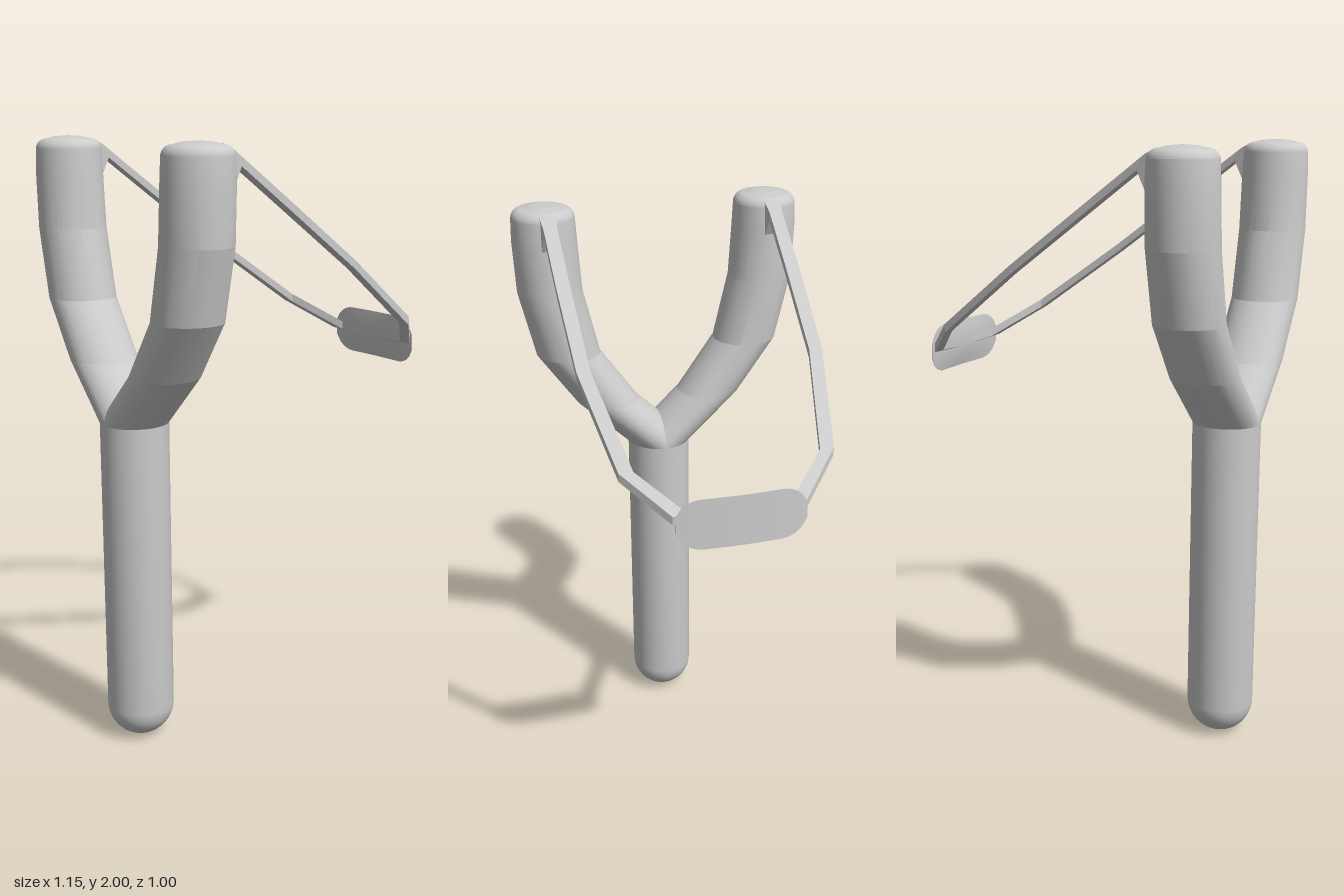
import * as THREE from 'three';
import { toCreasedNormals } from 'three/addons/utils/BufferGeometryUtils.js';

const R = 0.1125, FORK_X = -0.4625, SIDES = 48;
const material = new THREE.MeshStandardMaterial({ color: 0xcccccc });

// Stack of horizontal rings [y, z, radius], smooth around and creased between bands
function ringStack(rings, side) {
  const geo = new THREE.LatheGeometry(rings.map(([y, , r]) => new THREE.Vector2(r, y)), SIDES);
  const pos = geo.attributes.position;
  for (let i = 0; i < pos.count; i++) {
    pos.setZ(i, pos.getZ(i) + side * rings[i % rings.length][1]);
  }
  geo.translate(FORK_X, 0, 0);
  return toCreasedNormals(geo, THREE.MathUtils.degToRad(9.5));
}

// Box-section strip through sections [x, yTop, yBottom, zOuter, zInner]
function strip(sections, side) {
  const n = sections.length - 1;
  const geo = new THREE.BoxGeometry(1, 1, 1, n);
  const pos = geo.attributes.position;
  for (let i = 0; i < pos.count; i++) {
    const [x, top, bottom, outer, inner] = sections[Math.round((pos.getX(i) + 0.5) * n)];
    const isOuter = pos.getZ(i) * side > 0;
    pos.setXYZ(i, x, pos.getY(i) > 0 ? top : bottom, side * (isOuter ? outer : inner));
  }
  return toCreasedNormals(geo, 0.3);
}

// Thin curved lens with rounded ends
function pouchGeometry() {
  const geo = new THREE.BoxGeometry(2, 2, 2, 1, 6, 24);
  const pos = geo.attributes.position;
  for (let i = 0; i < pos.count; i++) {
    const t = pos.getY(i), s = pos.getZ(i);
    const end = Math.max(0, (Math.abs(s) - 0.6) / 0.4);
    const h = Math.sqrt(1 - 0.9 * end * end);
    const thick = 0.002 + 0.012 * (1 - t * t) * (1 - s * s);
    const x = 0.57 - 0.3 * (0.208 * s) ** 2 - 0.004 * t * h;
    pos.setXYZ(i, pos.getX(i) > 0 ? x : x - thick, 1.2825 + 0.0825 * t * h, 0.208 * s);
  }
  return toCreasedNormals(geo, 0.6);
}

export function createModel() {
  const model = new THREE.Group();
  const add = (name, geo) => {
    const mesh = new THREE.Mesh(geo, material);
    mesh.name = name;
    model.add(mesh);
  };

  // Handle with a domed foot
  const handle = [];
  for (let i = 0; i <= 12; i++) {
    const a = (i / 12) * Math.PI / 2;
    handle.push([R * (1 - Math.cos(a)), 0, R * Math.sin(a)]);
  }
  handle.push([1.1, 0, R]);
  add('handle', ringStack(handle, 1));

  // Fork arm with a softly rounded tip
  const arm = [[1.1, 0, R], [1.28, 0.19, R], [1.47, 0.325, R], [1.7, 0.38, R], [1.88, 0.39, 0.111], [1.955, 0.391, 0.108]];
  for (let i = 1; i <= 8; i++) {
    const a = (i / 8) * Math.PI / 2;
    arm.push([1.955 + 0.035 * Math.sin(a), 0.391, 0.073 + 0.035 * Math.cos(a)]);
  }
  arm.push([1.997, 0.391, 0.045], [2, 0.391, 0]);

  // Elastic band, flaring where it meets the fork
  const band = [
    [-0.39, 1.99, 1.84, 0.416, 0.36],
    [-0.352, 1.972, 1.87, 0.416, 0.362],
    [-0.325, 1.953, 1.925, 0.412, 0.366],
    [-0.14, 1.815, 1.787, 0.411, 0.365],
    [0.12, 1.622, 1.594, 0.404, 0.36],
    [0.41, 1.407, 1.379, 0.344, 0.298],
    [0.542, 1.309, 1.281, 0.212, 0.16],
    [0.562, 1.297, 1.269, 0.03, 0],
  ];

  for (const side of [1, -1]) {
    const label = side > 0 ? 'front' : 'back';
    add(label + 'ForkArm', ringStack(arm, side));
    add(label + 'Band', strip(band, side));
  }

  add('pouch', pouchGeometry());
  return model;
}
